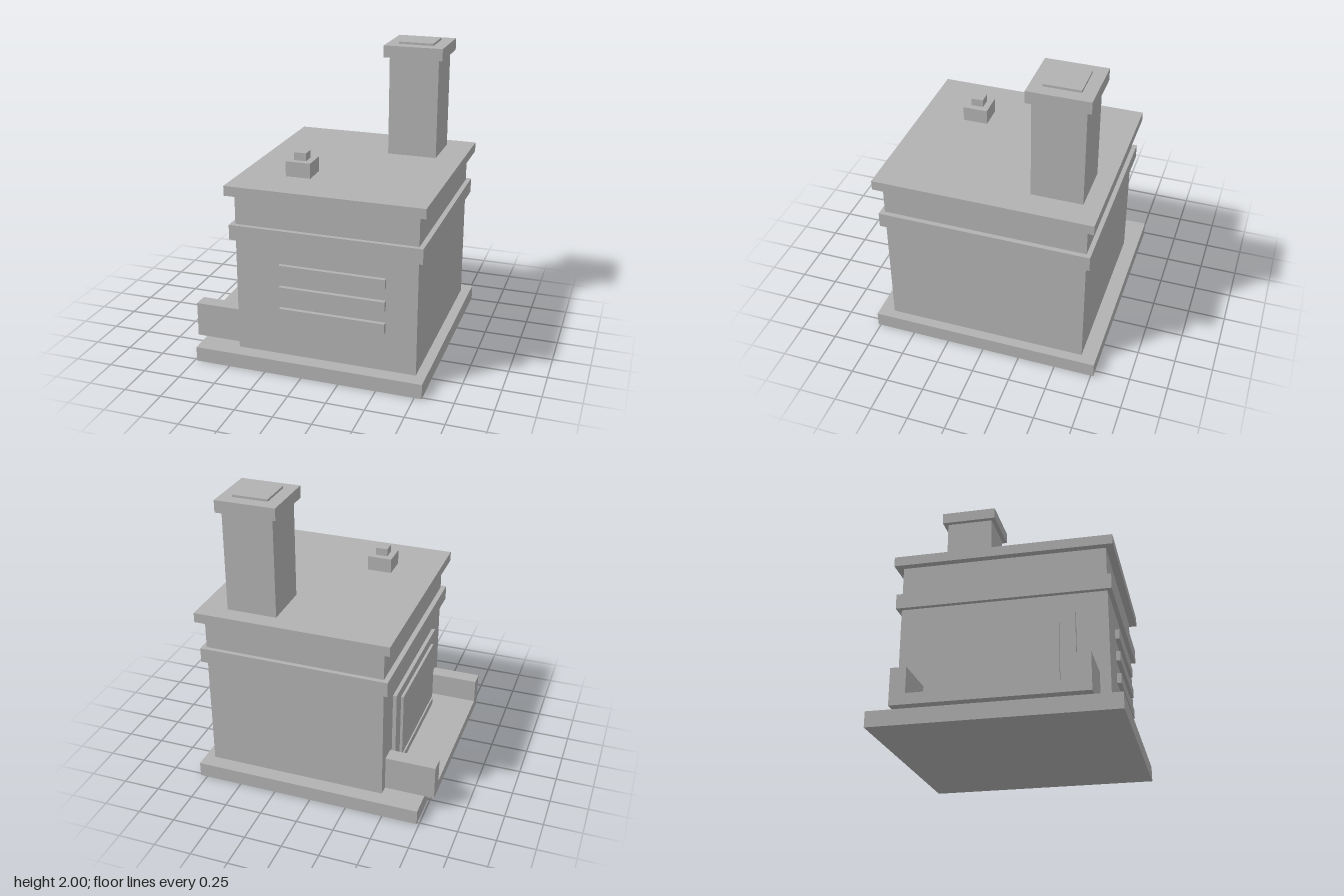
import * as THREE from 'three';

export function createModel() {
  const model = new THREE.Group();
  model.name = 'furnaceBuilding';
  const stone = new THREE.MeshStandardMaterial({ color: 0xb2b2b2 });
  stone.name = 'plain grey';

  // Box given by its lower and upper bounds on each axis
  const block = (name, [x0, x1], [y0, y1], [z0, z1], parent = model) => {
    const mesh = new THREE.Mesh(new THREE.BoxGeometry(x1 - x0, y1 - y0, z1 - z0), stone);
    mesh.name = name;
    mesh.position.set((x0 + x1) / 2, (y0 + y1) / 2, (z0 + z1) / 2);
    parent.add(mesh);
  };
  const group = (name) => {
    const g = new THREE.Group();
    g.name = name;
    model.add(g);
    return g;
  };

  // Main building
  block('basePlinth', [-0.735, 0.798], [0, 0.1], [-0.767, 0.767]);
  block('body', [-0.467, 0.733], [0.1, 1.17], [-0.667, 0.667]);
  block('wallBand', [-0.5, 0.765], [0.87, 0.97], [-0.697, 0.697]);
  block('roofSlab', [-0.517, 0.781], [1.17, 1.235], [-0.717, 0.717]);

  // Chimney
  const chimney = group('chimney');
  block('chimneyStack', [0.266, 0.6], [1.235, 1.905], [-0.6, -0.266], chimney);
  block('chimneyCap', [0.232, 0.63], [1.905, 1.985], [-0.633, -0.235], chimney);
  block('chimneyTop', [0.315, 0.548], [1.985, 2], [-0.55, -0.317], chimney);

  // Small roof vent
  const vent = group('roofVent');
  block('ventBase', [-0.218, -0.052], [1.235, 1.335], [0.25, 0.416], vent);
  block('ventKnob', [-0.176, -0.094], [1.335, 1.387], [0.292, 0.374], vent);

  // Front louvres
  const louvres = group('frontLouvres');
  for (let i = 0; i < 3; i++) {
    const y = 0.37 + i * 0.15;
    block('louvre', [-0.17, 0.53], [y, y + 0.065], [0.667, 0.695], louvres);
  }

  // Loading dock with side walls
  const dock = group('loadingDock');
  block('dockFloor', [-0.8, -0.467], [0.1, 0.17], [-0.5, 0.5], dock);
  for (const s of [-0.55, 0.55]) {
    block('dockWall', [-0.8, -0.467], [0.1, 0.335], [s - 0.05, s + 0.05], dock);
  }

  // Dock doorway
  const door = group('dockDoor');
  block('doorFrame', [-0.492, -0.467], [0.17, 0.735], [-0.465, 0.465], door);
  block('doorPanel', [-0.51, -0.492], [0.17, 0.67], [-0.365, 0.365], door);
  block('doorSill', [-0.52, -0.51], [0.17, 0.22], [-0.365, 0.365], door);

  return model;
}
